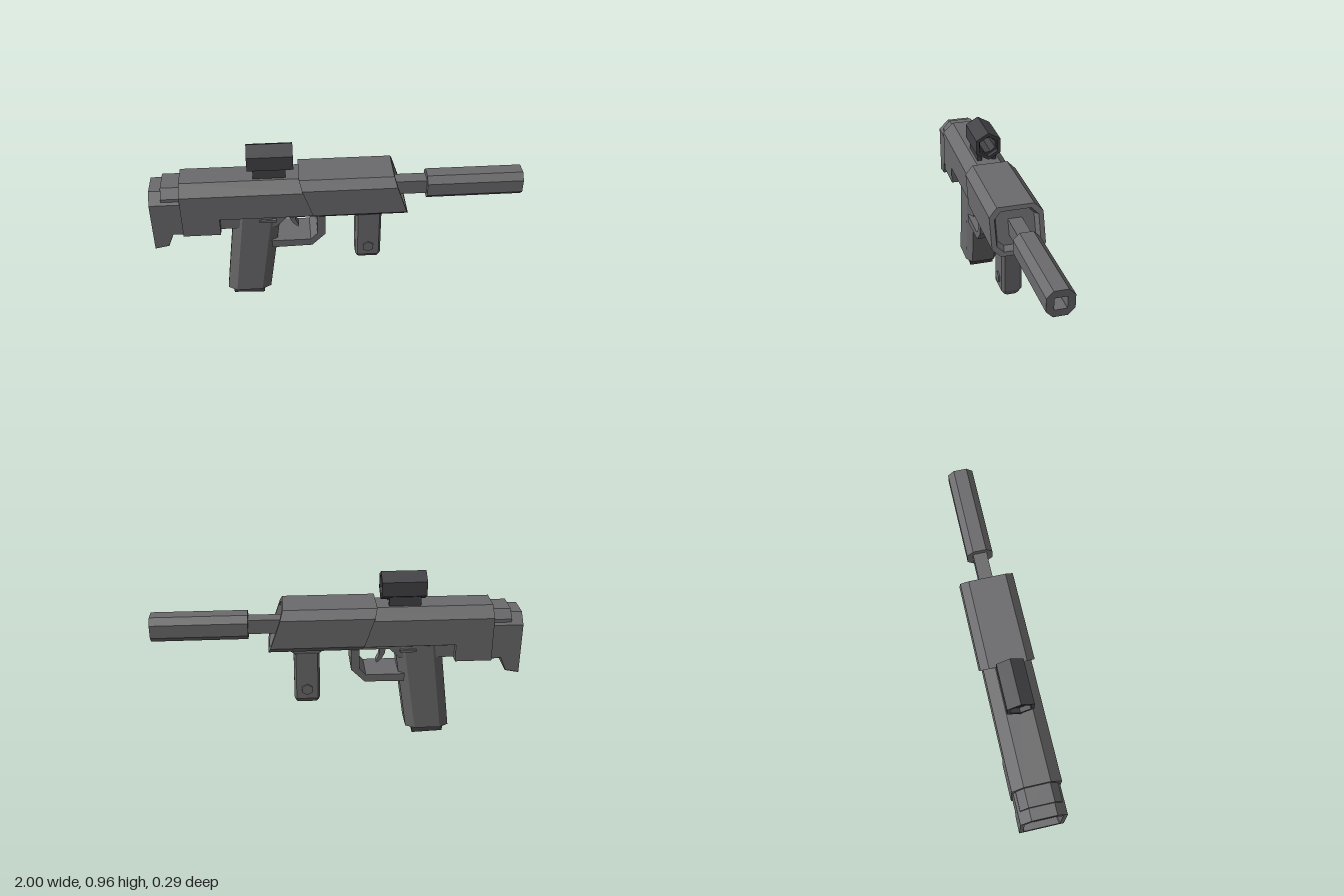
import * as THREE from 'three';

const V = (x, y, z) => new THREE.Vector3(x, y, z);

// Skin between equal-sized rings, with flat caps at both ends
function loft(rings) {
  const p = [];
  const tri = (...vs) => vs.forEach(v => p.push(v.x, v.y, v.z));
  const n = rings[0].length;
  for (let i = 0; i < rings.length - 1; i++) {
    for (let j = 0; j < n; j++) {
      const k = (j + 1) % n;
      const a = rings[i][j], b = rings[i][k], c = rings[i + 1][k], d = rings[i + 1][j];
      tri(a, b, c);
      tri(a, c, d);
    }
  }
  const s = rings[0], e = rings[rings.length - 1];
  for (let j = 1; j < n - 1; j++) {
    tri(s[0], s[j + 1], s[j]);
    tri(e[0], e[j], e[j + 1]);
  }
  const g = new THREE.BufferGeometry();
  g.setAttribute('position', new THREE.Float32BufferAttribute(p, 3));
  g.computeVertexNormals();
  return g;
}

// Eight-sided section across x; sec = [bottom, bottomHalf, lowShoulder, half, highShoulder, topHalf, top]
function ringX(x, [yb, wb, yl, w, ys, wt, yt], slope = 0) {
  const right = [[yt, wt], [ys, w], [yl, w], [yb, wb]];
  const all = [...right, ...right.slice().reverse().map(([y, z]) => [y, -z])];
  return all.map(([y, z]) => V(x - slope * (y - yb), y, z));
}

// Ring shrunk about a height and shifted along x
const inset = (ring, k, cy, dx) => ring.map(v => V(v.x + dx, cy + (v.y - cy) * k, v.z * k));

// Chamfered rectangle across y
function ringY(cx, y, hx, hz, bx, bz) {
  const a = hx - bx, b = hz - bz;
  return [[a, hz], [hx, b], [hx, -b], [a, -hz], [-a, -hz], [-hx, -b], [-hx, b], [-a, hz]]
    .map(([x, z]) => V(cx + x, y, z));
}

// Side profile given thickness across z
function slab(points, half) {
  const shape = new THREE.Shape(points.map(([x, y]) => new THREE.Vector2(x, y)));
  return new THREE.ExtrudeGeometry(shape, { depth: half * 2, bevelEnabled: false }).translate(0, 0, -half);
}

function box(x0, x1, y0, y1, z0, z1) {
  return new THREE.BoxGeometry(x1 - x0, y1 - y0, z1 - z0)
    .translate((x0 + x1) / 2, (y0 + y1) / 2, (z0 + z1) / 2);
}

export function createModel() {
  const model = new THREE.Group();
  const grey = new THREE.MeshStandardMaterial({ color: 0x6b6b6d, flatShading: true });
  grey.name = 'grey';
  const dark = new THREE.MeshStandardMaterial({ color: 0x434347, flatShading: true });
  dark.name = 'dark grey';
  const add = (name, geometry, material = grey) => {
    const mesh = new THREE.Mesh(geometry, material);
    mesh.name = name;
    model.add(mesh);
    return mesh;
  };

  // Receiver and its deeper rear block
  const receiver = [0.575, 0.12, 0.58, 0.128, 0.73, 0.068, 0.785];
  add('receiver', loft([ringX(-0.84, receiver), ringX(-0.12, receiver)]));
  add('rearBlock', box(-0.84, -0.64, 0.48, 0.6, -0.128, 0.128));

  // Stock with a notched underside and hollow rear
  const stock = yb => [yb, 0.115, yb + 0.005, 0.12, 0.685, 0.065, 0.74];
  const butt = ringX(-1, stock(0.395));
  add('stock', loft([
    inset(butt, 0.76, 0.57, 0.035), inset(butt, 0.82, 0.57, 0), butt,
    ringX(-0.925, stock(0.41)), ringX(-0.895, stock(0.485)), ringX(-0.83, stock(0.485)),
  ]));
  const cheek = [0.66, 0.1, 0.665, 0.108, 0.715, 0.066, 0.76];
  add('cheekBand', loft([ringX(-0.937, cheek), ringX(-0.83, cheek)]));

  // Slanted handguard with a recessed front
  const guard = [0.553, 0.1, 0.592, 0.144, 0.752, 0.1, 0.795];
  const slope = 0.34;
  const front = ringX(0.372, guard, slope);
  const shrink = (k, dx) => front.map(v => {
    const y = 0.675 + (v.y - 0.675) * k;
    return V(0.372 - slope * (y - 0.553) + dx, y, v.z * k);
  });
  add('handguard', loft([
    ringX(-0.13, guard, slope), front, shrink(0.82, 0), shrink(0.72, -0.04),
  ]));

  // Barrel and eight-sided muzzle tube with a square bore
  add('barrel', box(0.24, 0.5, 0.635, 0.715, -0.038, 0.038));
  const tube = [0.605, 0.036, 0.639, 0.07, 0.711, 0.036, 0.745];
  const bore = [0.643, 0.031, 0.644, 0.032, 0.706, 0.031, 0.707];
  add('muzzleTube', loft([
    ringX(0.477, tube), ringX(0.997, tube), ringX(0.997, bore), ringX(0.9, bore),
  ]));

  // Lower frame above the grip
  add('lowerFrame', slab([
    [-0.65, 0.49], [-0.34, 0.49], [-0.285, 0.548], [-0.08, 0.548], [-0.08, 0.59], [-0.65, 0.59],
  ], 0.09));
  for (const s of [-1, 1]) {
    const lever = add('frameLever', box(-0.43, -0.34, 0.532, 0.546, -0.012, 0.012));
    lever.position.z = s * 0.095;
  }

  // Raked grip and its base
  add('grip', loft([
    ringY(-0.513, 0.045, 0.122, 0.097, 0.05, 0.029),
    ringY(-0.44, 0.577, 0.128, 0.097, 0.05, 0.029),
  ]));
  add('gripBase', slab([[-0.602, 0.007], [-0.43, 0], [-0.425, 0.05], [-0.608, 0.05]], 0.071), dark);

  // Trigger guard and trigger
  add('triggerGuard', slab([
    [-0.075, 0.56], [-0.12, 0.56], [-0.12, 0.435], [-0.157, 0.396], [-0.37, 0.396],
    [-0.37, 0.35], [-0.15, 0.355], [-0.075, 0.43],
  ], 0.096));
  add('trigger', slab([
    [-0.275, 0.56], [-0.268, 0.49], [-0.25, 0.455], [-0.223, 0.43],
    [-0.218, 0.44], [-0.235, 0.475], [-0.238, 0.51], [-0.225, 0.56],
  ], 0.022));

  // Foregrip, collar and side buttons
  add('foregrip', loft([
    ringY(0.165, 0.207, 0.06, 0.035, 0.008, 0.012),
    ringY(0.165, 0.237, 0.071, 0.057, 0.012, 0.018),
    ringY(0.165, 0.56, 0.071, 0.057, 0.012, 0.018),
  ]));
  add('foregripCollar', loft([
    ringY(0.165, 0.515, 0.075, 0.058, 0.012, 0.018),
    ringY(0.165, 0.527, 0.085, 0.066, 0.012, 0.018),
    ringY(0.165, 0.56, 0.085, 0.066, 0.012, 0.018),
  ]));
  add('foregripButtons', new THREE.CylinderGeometry(0.033, 0.033, 0.13, 6)
    .rotateX(Math.PI / 2).translate(0.165, 0.295, 0));

  // Hexagonal sight tube on two mounting rails
  const polygon = (Type, r, n, turn) => new Type(Array.from({ length: n }, (_, i) => {
    const a = turn + i * 2 * Math.PI / n;
    return new THREE.Vector2(r * Math.cos(a), r * Math.sin(a));
  }));
  const sightPart = (name, outer, hole, sides, turn, x0, x1) => {
    const shape = polygon(THREE.Shape, outer, 6, Math.PI / 6);
    shape.holes.push(polygon(THREE.Path, hole, sides, turn));
    add(name, new THREE.ExtrudeGeometry(shape, { depth: x1 - x0, bevelEnabled: false })
      .rotateY(Math.PI / 2).translate(x0, 0.885, 0), dark);
  };
  sightPart('sightTube', 0.08, 0.06, 6, Math.PI / 6, -0.48, -0.238);
  sightPart('sightInnerRing', 0.062, 0.046, 8, Math.PI / 8, -0.455, -0.263);
  for (const s of [-1, 1]) {
    const rail = add('sightMount', box(-0.452, -0.28, 0.77, 0.85, -0.0125, 0.0125), dark);
    rail.position.z = s * 0.041;
  }

  return model;
}
